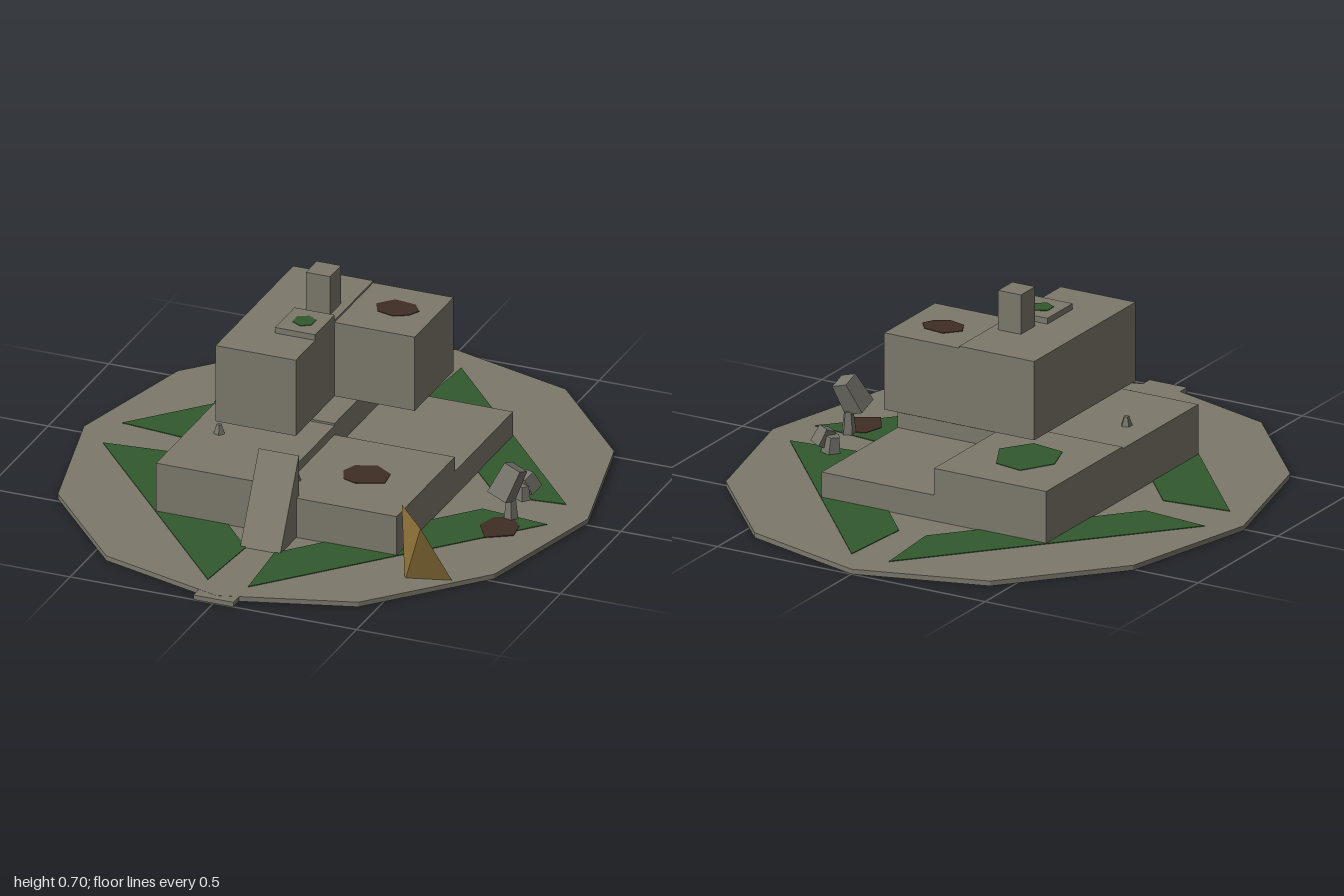
import * as THREE from 'three';

const mat = (name, color) => {
  const m = new THREE.MeshStandardMaterial({ color });
  m.name = name;
  return m;
};

export function createModel() {
  const root = new THREE.Group();
  root.name = 'ruinedTerrace';
  const stone = mat('stone', 0x7c786b);
  const rubble = mat('rubble', 0x77746c);
  const moss = mat('moss', 0x32592c);
  const soil = mat('soil', 0x402d24);
  const ochre = mat('ochre', 0x8f743a);

  const add = (name, geo, material) => {
    const m = new THREE.Mesh(geo, material);
    m.name = name;
    root.add(m);
    return m;
  };
  // Box given by its limits on each axis
  const block = (name, x0, x1, y0, y1, z0, z1) =>
    add(name, new THREE.BoxGeometry(x1 - x0, y1 - y0, z1 - z0), stone)
      .position.set((x0 + x1) / 2, (y0 + y1) / 2, (z0 + z1) / 2);
  // Thin flat patch from x, z outline points
  const patch = (name, pts, y, material) => {
    const shape = new THREE.Shape(pts.map(([x, z]) => new THREE.Vector2(x, -z)));
    const geo = new THREE.ExtrudeGeometry(shape, { depth: 0.003, bevelEnabled: false });
    geo.rotateX(-Math.PI / 2);
    add(name, geo, material).position.y = y;
  };
  // Flat-faced solid from corners and polygons (outward, anticlockwise)
  const solid = (name, v, faces, material) => {
    const pos = [];
    for (const f of faces)
      for (let i = 1; i < f.length - 1; i++) pos.push(...v[f[0]], ...v[f[i]], ...v[f[i + 1]]);
    const geo = new THREE.BufferGeometry();
    geo.setAttribute('position', new THREE.Float32BufferAttribute(pos, 3));
    geo.computeVertexNormals();
    return add(name, geo, material);
  };

  // Ground plate with twelve sides, and the step at its front
  const ground = new THREE.CylinderGeometry(1, 1, 0.017, 12).toNonIndexed();
  ground.scale(0.88, 1, 0.988);
  ground.computeVertexNormals();
  add('groundPlate', ground, stone).position.set(0, 0.0085, -0.012);
  block('frontStep', -0.07, 0.07, 0, 0.0165, 0.88, 1);

  // Four mossy beds
  for (const sx of [-1, 1])
    for (const sz of [-1, 1])
      patch('mossBed', [[0.07, 0.88], [0.775, 0.08], [0.54, 0.055], [0.05, 0.615]]
        .map(([x, z]) => [x * sx, z * sz]), 0.0165, moss);

  // Lower terrace in four quarters of differing height
  block('lowerBackLeft', 0, 0.42, 0, 0.105, -0.48, 0);
  block('lowerFrontLeft', 0, 0.42, 0, 0.157, 0, 0.48);
  block('lowerFrontRight', -0.42, 0, 0, 0.19, 0, 0.48);
  block('lowerBackRight', -0.42, 0, 0, 0.197, -0.48, 0);

  // Upper storey of three raised blocks, cap and chimney
  block('upperBackLeft', 0, 0.28, 0.295, 0.558, -0.32, 0);
  block('upperFrontRight', -0.28, 0, 0.295, 0.565, 0, 0.32);
  block('upperBackRight', -0.28, 0, 0.295, 0.565, -0.32, 0);
  block('roofCap', -0.14, 0, 0.565, 0.585, 0, 0.16);
  block('chimney', -0.115, -0.03, 0.56, 0.70, -0.125, -0.035);

  // Steep ramp wedge
  const side = new THREE.Shape([
    new THREE.Vector2(-0.62, 0.005), new THREE.Vector2(-0.46, 0.005), new THREE.Vector2(-0.46, 0.30),
  ]);
  const ramp = new THREE.ExtrudeGeometry(side, { depth: 0.14, bevelEnabled: false });
  ramp.translate(0, 0, -0.07);
  ramp.rotateY(Math.PI / 2);
  add('ramp', ramp, stone);

  // Leaning shard: stone slope on one side, ochre on the others
  const shard = [
    [0.455, 0.225, 0.52], [0.58, 0.225, 0.662], [0.505, 0, 0.615], [0.66, 0, 0.57], [0.534, 0, 0.43],
  ];
  solid('shardSlope', shard, [[0, 1, 3, 4]], stone);
  solid('shardSides', shard, [[0, 2, 1], [1, 2, 3], [0, 4, 2], [2, 4, 3]], ochre);

  // Worn soil and moss patches
  patch('soilPatch', [[0.07, -0.18], [0.115, -0.23], [0.19, -0.22], [0.22, -0.18],
    [0.2, -0.14], [0.155, -0.115], [0.095, -0.13]], 0.557, soil);
  patch('soilPatch', [[0.13, 0.235], [0.15, 0.185], [0.22, 0.16], [0.28, 0.2],
    [0.29, 0.27], [0.2, 0.305], [0.155, 0.29]], 0.156, soil);
  patch('soilPatch', [[0.58, 0.17], [0.6, 0.1], [0.66, 0.08], [0.7, 0.13],
    [0.71, 0.2], [0.63, 0.25]], 0.0185, soil);
  patch('mossPatch', [[-0.105, 0.06], [-0.07, 0.04], [-0.038, 0.06], [-0.038, 0.1],
    [-0.07, 0.12], [-0.105, 0.1]], 0.584, moss);
  patch('mossPatch', [[-0.315, -0.25], [-0.25, -0.357], [-0.15, -0.34], [-0.09, -0.22],
    [-0.16, -0.12], [-0.28, -0.14]], 0.196, moss);

  // Loose stones: tapered four- or five-sided chunks, some tilted
  const rocks = [
    // x, y, z, top radius, bottom radius, height, sides, tilt x, turn y, tilt z
    [0.645, 0.15, 0.09, 0.043, 0.052, 0.11, 4, -0.35, 0.75, -0.35],
    [0.65, 0.05, 0.08, 0.016, 0.026, 0.085, 5, 0, 0.4, 0],
    [0.635, 0.065, -0.1, 0.03, 0.035, 0.06, 4, 0.35, 0.4, 0.3],
    [0.605, 0.045, -0.1, 0.025, 0.035, 0.06, 5, 0, 0.9, 0.1],
    [0.63, 0.04, -0.07, 0.02, 0.026, 0.05, 5, 0, 0.2, 0],
    [-0.32, 0.205, 0.195, 0.009, 0.02, 0.033, 5, 0, 0.3, 0],
    [0.015, 0.171, 0.36, 0.01, 0.02, 0.033, 5, 0, 0.8, 0],
  ];
  for (const [x, y, z, rt, rb, h, n, ax, ay, az] of rocks) {
    const geo = new THREE.CylinderGeometry(rt, rb, h, n).toNonIndexed();
    geo.computeVertexNormals();
    geo.rotateY(ay);
    const rock = add('looseStone', geo, rubble);
    rock.rotation.set(ax, 0, az);
    rock.position.set(x, y, z);
  }
  return root;
}
